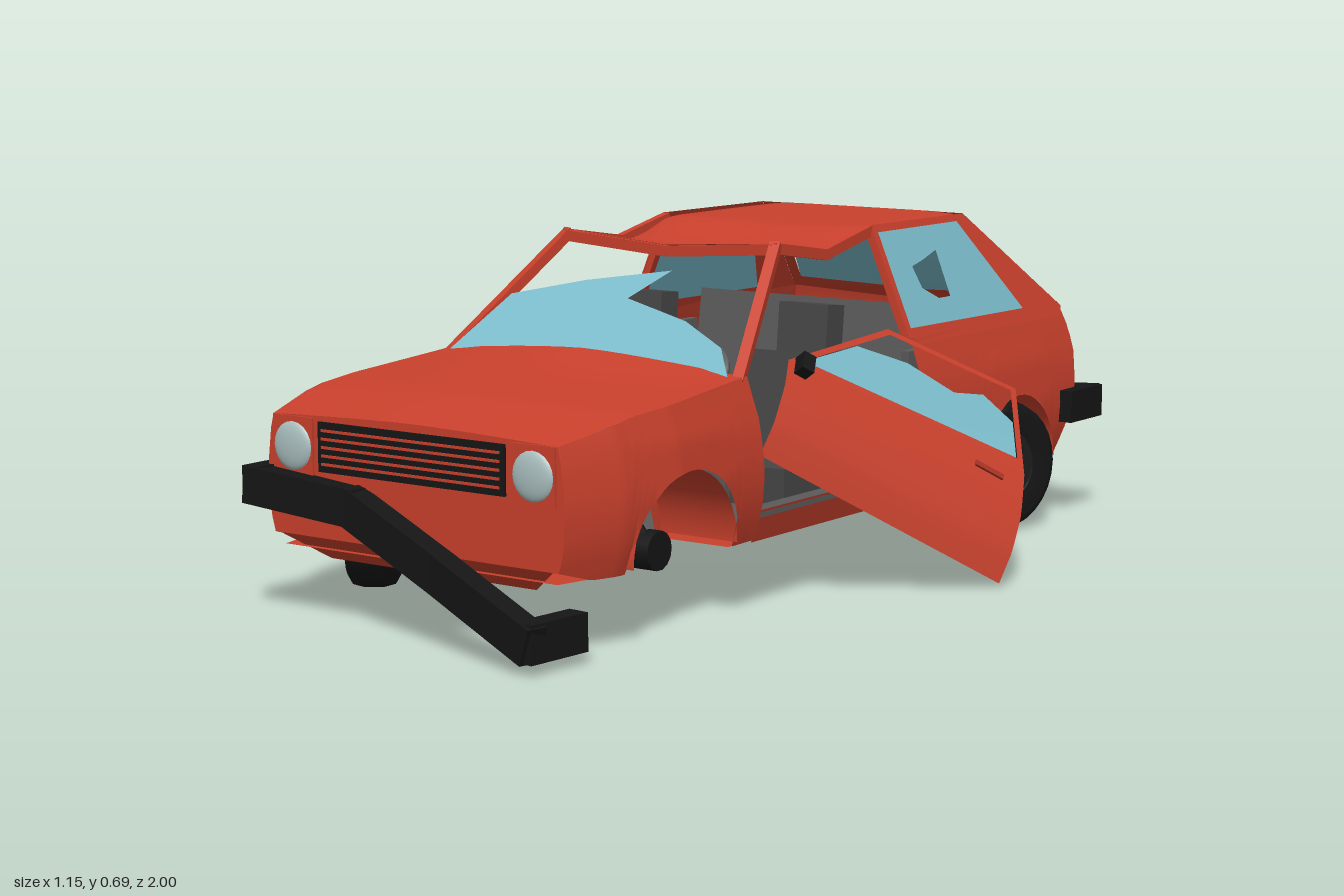
import * as THREE from 'three';

const mat = (color, side = THREE.DoubleSide) => new THREE.MeshStandardMaterial({ color, side });
const red = mat(0xc8402c), redOuter = mat(0xc8402c, THREE.FrontSide), glass = mat(0x7cbccb);
const glassOuter = mat(0x7cbccb, THREE.FrontSide), black = mat(0x151515), grey = mat(0x5a5a5a), lamp = mat(0xa9bdbd);
const seat = mat(0x464646), tail = mat(0xd8604a), amber = mat(0xd8862c);
const V = (p) => new THREE.Vector3(...p);

function add(parent, name, geo, material, pos = [0, 0, 0], rot = [0, 0, 0]) {
  const m = new THREE.Mesh(geo, material);
  m.name = name;
  m.position.set(...pos);
  m.rotation.set(...rot);
  parent.add(m);
  return m;
}
const box = (g, name, size, pos, material, rot) => add(g, name, new THREE.BoxGeometry(...size), material, pos, rot);

// piecewise linear table with rising keys
function interp(table, t) {
  if (t <= table[0][0]) return table[0][1];
  for (let i = 1; i < table.length; i++) {
    const [a, p] = table[i - 1], [b, q] = table[i];
    if (t <= b) return p + (q - p) * (t - a) / (b - a);
  }
  return table[table.length - 1][1];
}

// smooth surface from a rule f(u, v), u and v in 0..1
function grid(nu, nv, f) {
  const pos = [], idx = [];
  for (let j = 0; j <= nv; j++) for (let i = 0; i <= nu; i++) pos.push(...f(i / nu, j / nv));
  for (let j = 0; j < nv; j++) for (let i = 0; i < nu; i++) {
    const a = j * (nu + 1) + i, b = a + nu + 1;
    idx.push(a, a + 1, b + 1, a, b + 1, b);
  }
  const g = new THREE.BufferGeometry();
  g.setAttribute('position', new THREE.Float32BufferAttribute(pos, 3));
  g.setIndex(idx);
  g.computeVertexNormals();
  return g;
}

// flat outline with optional hole, each point moved by a rule
function panel(outline, hole, rule) {
  const pts = (l) => l.map(([a, b]) => new THREE.Vector2(a, b));
  const s = new THREE.Shape(pts(outline));
  if (hole) s.holes.push(new THREE.Path(pts(hole)));
  const g = new THREE.ShapeGeometry(s), p = g.attributes.position;
  for (let i = 0; i < p.count; i++) p.setXYZ(i, ...rule(p.getX(i), p.getY(i)));
  g.computeVertexNormals();
  return g;
}

// chain of square bars through points
function bars(g, name, points, h, d, material, extra = 0) {
  for (let i = 1; i < points.length; i++) {
    const a = V(points[i - 1]), b = V(points[i]);
    const m = add(g, name, new THREE.BoxGeometry(d, h, a.distanceTo(b) + extra), material);
    m.position.copy(a).add(b).multiplyScalar(0.5);
    m.quaternion.setFromRotationMatrix(new THREE.Matrix4().lookAt(b, a, m.up));
  }
}

// body rules: half width, wheel arch edge, belt height, tail outline
const NOSE = 0.873;
const plan = [[-0.97, 0.398], [-0.8, 0.402], [-0.3, 0.405], [0.35, 0.41], [0.6, 0.42], [0.75, 0.402], [0.873, 0.36]];
const bulge = [[0.13, 0.93], [0.2, 0.985], [0.28, 1], [0.37, 0.97], [0.42, 0.925], [0.47, 0.885]];
const halfW = (y, z) => interp(plan, z) * interp(bulge, y);
const ARCHES = [[0.565, 0.162], [-0.655, 0.152]];
const lower = (z) => Math.max(z > 0.8 ? 0.14 + (z - 0.8) * 0.3 : 0.14,
  ...ARCHES.map(([c, r]) => (Math.abs(z - c) < r ? 0.15 + Math.sqrt(r ** 2 - (z - c) ** 2) : 0)));
const belt = (z) => interp([[-0.9, 0.47], [0.33, 0.455], [0.7, 0.425], [0.873, 0.39]], z);
const tailZ = (y) => interp([[0.15, -0.845], [0.29, -0.905], [0.42, -0.92], [0.47, -0.905]], y);

function wheel(g, name, pos, yaw, camber, s) {
  const w = new THREE.Group();
  w.name = name;
  const prof = [[0.075, -0.045], [0.118, -0.052], [0.136, -0.042], [0.142, -0.02], [0.142, 0.02], [0.136, 0.042], [0.118, 0.052], [0.075, 0.045]];
  add(w, 'tyre', new THREE.LatheGeometry(prof.map((p) => new THREE.Vector2(...p)), 28), black, [0, 0, 0], [0, 0, Math.PI / 2]);
  add(w, 'rim', new THREE.CylinderGeometry(0.08, 0.08, 0.07, 24), mat(0x1e1e1e), [0, 0, 0], [0, 0, Math.PI / 2]);
  add(w, 'hub', new THREE.CylinderGeometry(0.025, 0.025, 0.08, 12), black, [0, 0, 0], [0, 0, Math.PI / 2]);
  for (let i = 0; i < 5; i++) {
    const a = i * Math.PI * 0.4;
    box(w, 'rimSlot', [0.006, 0.018, 0.018], [s * 0.034, 0.052 * Math.sin(a), 0.052 * Math.cos(a)], black, [-a, 0, 0]);
  }
  w.position.set(...pos);
  w.rotation.set(0, yaw, camber, 'YXZ');
  g.add(w);
}

function buildBody(g) {
  for (const s of [-1, 1]) {
    // fenders, quarters and sills
    const side = (z0, z1) => (u, v) => {
      let z = z0 + (z1 - z0) * u;
      const lo = lower(z), y = lo + (belt(z) - lo) * v, x = s * halfW(y, z);
      if (z < -0.82) z = -0.82 + (z + 0.82) / -0.12 * (tailZ(y) + 0.82);
      return [x, y, z];
    };
    add(g, 'frontFender', grid(64, 8, side(NOSE, 0.325)), red);
    add(g, 'rearQuarter', grid(72, 8, side(-0.27, -0.94)), red);
    add(g, 'sill', grid(2, 3, (u, v) => [s * halfW(0.135 + 0.065 * v, 0), 0.135 + 0.065 * v, 0.33 - 0.61 * u]), red);
    box(g, 'sillTop', [0.05, 0.01, 0.6], [s * 0.375, 0.19, 0.025], grey);
    box(g, 'quarterTrim', [0.02, 0.27, 0.21], [s * 0.345, 0.3, -0.38], grey);
    // wheel wells
    for (const [z, r] of ARCHES) {
      add(g, 'wheelWell', new THREE.CylinderGeometry(r, r, 0.18, 20, 1, true, 0, Math.PI), red, [s * 0.31, 0.15, z], [0, 0, Math.PI / 2]);
      add(g, 'wellWall', new THREE.CircleGeometry(r, 20, 0, Math.PI), red, [s * 0.22, 0.15, z], [0, Math.PI / 2, 0]);
    }
    // rear side window and its frame
    const slope = (z, y) => [s * (0.361 - (y - 0.46) * 0.426), y, z];
    const win = [[-0.278, 0.482], [-0.278, 0.676], [-0.6, 0.676], [-0.745, 0.479]];
    add(g, 'sideFrame', panel([[-0.262, 0.45], [-0.262, 0.692], [-0.635, 0.69], [-0.905, 0.47], [-0.89, 0.45]], win, slope), red);
    const hole = s > 0 ? [[-0.37, 0.6], [-0.42, 0.61], [-0.48, 0.625], [-0.475, 0.53], [-0.43, 0.53], [-0.38, 0.555]] : null;
    add(g, 'sideWindow', panel(win, hole, slope), glass);
    // windscreen pillar, roof rail and door post
    bars(g, 'windscreenPillar', [[s * 0.358, 0.445, 0.34], [s * 0.26, 0.675, 0.075]], 0.02, 0.022, red, 0.01);
    bars(g, 'roofRail', [[s * 0.26, 0.672, 0.08], [s * 0.26, 0.645, -0.1], [s * 0.26, 0.68, -0.265]], 0.022, 0.016, red, 0.008);
    bars(g, 'doorPost', [[s * 0.355, 0.46, -0.272], [s * 0.262, 0.68, -0.272]], 0.018, 0.018, red);
    // lamps
    box(g, 'lampPanel', [0.1, 0.11, 0.01], [s * 0.29, 0.335, NOSE], red);
    const l = add(g, 'headlight', new THREE.SphereGeometry(0.048, 20, 10, 0, Math.PI * 2, 0, Math.PI / 2), lamp, [s * 0.29, 0.333, NOSE + 0.002], [Math.PI / 2, 0, 0]);
    l.scale.y = 0.3;
    box(g, 'tailLight', [0.085, 0.06, 0.03], [s * 0.318, 0.36, -0.92], tail, [0, s * -0.18, 0]);
    box(g, 'turnSignal', [0.085, 0.022, 0.03], [s * 0.318, 0.316, -0.916], amber, [0, s * -0.18, 0]);
  }
  // bonnet, nose and valance
  add(g, 'bonnet', grid(14, 12, (u, v) => {
    const z = NOSE - (NOSE - 0.335) * v, t = u * 2 - 1, y = belt(z);
    return [t * halfW(y, z), y + (0.01 + 0.02 * v ** 5) * (1 - Math.abs(t) ** 1.5), z + 0.025 * v * (1 - t * t)];
  }), red);
  add(g, 'nose', grid(8, 8, (u, v) => {
    const t = u * 2 - 1, y = 0.162 + (0.228 + 0.01 * (1 - Math.abs(t) ** 1.5)) * v;
    return [t * halfW(y, NOSE), y, NOSE];
  }), red);
  add(g, 'valance', grid(1, 1, (u, v) => [(u * 2 - 1) * (0.25 + 0.08 * v), 0.112 + 0.05 * v, 0.82 + 0.053 * v]), red);
  // grille
  box(g, 'grille', [0.45, 0.095, 0.012], [0, 0.337, NOSE], black);
  for (let i = 0; i < 5; i++) box(g, 'grilleSlat', [0.43, 0.005, 0.008], [0, 0.305 + i * 0.016, NOSE + 0.005], red);
  // dented roof
  add(g, 'roof', grid(16, 24, (u, v) => {
    const t = u * 2 - 1, z = 0.085 - 0.73 * v;
    const y = interp([[-0.645, 0.69], [-0.26, 0.692], [-0.18, 0.665], [-0.1, 0.65], [0, 0.662], [0.085, 0.683]], z);
    return [t * 0.266, y - 0.018 * (1 - Math.abs(t)) * interp([[-0.5, 0], [-0.1, 1]], z) - 0.012 * t ** 10, z];
  }), red);
  bars(g, 'roofHeader', [[-0.26, 0.67, 0.078], [0, 0.652, 0.078], [0.26, 0.67, 0.078]], 0.022, 0.02, red);
  // windscreen remains
  const screen = (x, t) => [x, 0.462 + 0.213 * t, 0.35 - 0.27 * t];
  add(g, 'windscreen', panel([[-0.345, -0.03], [0.345, -0.03], [0.29, 0.18], [0.17, 0.36], [0, 0.5], [0.06, 0.75], [-0.13, 0.62], [-0.29, 0.46]], null, screen), glass);
  // tailgate window frame, broken glass and tail panel
  const gate = (x, t) => {
    const c = t * (1 - Math.abs(x) / 0.36);
    return [x, 0.69 - 0.22 * t - 0.025 * c, -0.635 - 0.27 * t - 0.07 * c];
  };
  add(g, 'tailgateFrame', panel([[-0.262, 0], [0.262, 0], [0.357, 1], [0, 1], [-0.357, 1]],
    [[-0.235, 0.07], [-0.322, 0.88], [0, 0.86], [0.322, 0.88], [0.235, 0.07]], gate), red);
  add(g, 'tailgateGlass', panel([[-0.322, 0.88], [0, 0.86], [0.322, 0.88], [0.24, 0.08], [0.15, 0.22], [0.02, 0.42], [-0.15, 0.25], [-0.16, 0.45], [-0.285, 0.55]], null, gate), glass);
  add(g, 'tailPanel', grid(12, 10, (u, v) => {
    const t = u * 2 - 1, y = 0.14 + 0.33 * v, c = 1 - Math.abs(t);
    return [t * halfW(y, -0.94), y - 0.025 * c * v * v, tailZ(y) - 0.07 * c * Math.min(1, 0.2 + 1.2 * v)];
  }), red);
  // underside with wheel notches
  const half = [[0.33, 0.86], [0.36, 0.73], [0.22, 0.727], [0.22, 0.403], [0.378, 0.403], [0.378, -0.503], [0.22, -0.503], [0.22, -0.807], [0.36, -0.807], [0.36, -0.85]];
  add(g, 'underside', panel([...half, ...half.map(([x, z]) => [-x, z]).reverse()], null, (x, z) => [x, 0.138, z]), red);
}

function buildInterior(g) {
  box(g, 'cabinFloor', [0.74, 0.015, 0.83], [0, 0.155, -0.07], grey);
  box(g, 'firewall', [0.7, 0.26, 0.015], [0, 0.29, 0.365], grey);
  box(g, 'dashboard', [0.68, 0.08, 0.05], [0, 0.4, 0.345], grey);
  for (const x of [-0.21, 0.21]) {
    box(g, 'frontSeat', [0.24, 0.08, 0.25], [x, 0.205, 0.02], seat);
    box(g, 'frontSeatBack', [0.24, 0.24, 0.06], [x, 0.32, -0.09], seat, [-0.15, 0, 0]);
    box(g, 'headrest', [0.12, 0.11, 0.06], [x, 0.485, -0.125], seat, [-0.1, 0, 0]);
  }
  box(g, 'rearSeat', [0.66, 0.1, 0.2], [0, 0.22, -0.38], grey);
  box(g, 'rearSeatBack', [0.66, 0.3, 0.06], [0, 0.35, -0.5], grey, [-0.15, 0, 0]);
  box(g, 'parcelShelf', [0.66, 0.012, 0.35], [0, 0.43, -0.7], grey);
  add(g, 'steeringWheel', new THREE.TorusGeometry(0.06, 0.008, 8, 24), grey, [0.19, 0.435, 0.235], [-0.6, 0, 0]);
  bars(g, 'steeringColumn', [[0.19, 0.435, 0.235], [0.19, 0.36, 0.34]], 0.018, 0.018, grey);
}

function buildDoor(g) {
  const door = new THREE.Group();
  door.name = 'hangingDoor';
  // local x runs rearwards, y up the door, z outwards
  const ex = V([0.28, -0.29, -0.43]).normalize(), ez = ex.clone().cross(V([-0.17, 0.35, -0.32])).normalize();
  new THREE.Matrix4().makeBasis(ex, ez.clone().cross(ex), ez).setPosition(0.29, 0.3, 0.3).decompose(door.position, door.quaternion, door.scale);
  const out = (b) => interp([[0, 0], [0.06, 0.035], [0.14, 0.055], [0.24, 0.055], [0.5, 0]], b);
  const lift = (d) => (a, b) => [a, b, out(b) + d];
  add(door, 'doorSkin', grid(6, 10, (u, v) => {
    const b = (0.205 + 0.065 * u) * v;
    return [0.59 * u, b, out(b)];
  }), redOuter);
  add(door, 'doorWindowFrame', panel([[0, 0.205], [0.59, 0.27], [0.59, 0.5], [0.25, 0.458]],
    [[0.035, 0.222], [0.575, 0.282], [0.575, 0.485], [0.255, 0.444]], lift(0)), red);
  add(door, 'doorGlass', panel([[0.035, 0.222], [0.575, 0.282], [0.575, 0.39], [0.5, 0.425], [0.42, 0.38], [0.3, 0.39], [0.17, 0.355]], null, lift(-0.003)), glassOuter);
  box(door, 'doorHandle', [0.07, 0.012, 0.008], [0.5, 0.205, 0.056], mat(0xa83424));
  box(door, 'mirror', [0.028, 0.04, 0.04], [0.03, 0.2, 0.064], black);
  g.add(door);
}

export function createModel() {
  const car = new THREE.Group();
  car.name = 'wreckedCar';
  const body = new THREE.Group();
  body.name = 'body';
  body.position.x = -0.09;
  car.add(body);
  buildBody(body);
  buildInterior(body);
  buildDoor(car);
  // three wheels and a bare strut
  wheel(car, 'frontRightWheel', [-0.455, 0.143, 0.57], 0.65, 0, -1);
  wheel(car, 'rearRightWheel', [-0.42, 0.155, -0.655], 0.12, 0.4, -1);
  wheel(car, 'rearLeftWheel', [0.248, 0.146, -0.655], -0.3, 0, 1);
  for (const z of [0.62, 0.525]) bars(car, 'strut', [[0.16, 0.29, z], [0.23, 0.16, 0.575]], 0.026, 0.026, black);
  add(car, 'bareHub', new THREE.CylinderGeometry(0.038, 0.038, 0.06, 14), black, [0.225, 0.155, 0.575], [0, 0, Math.PI / 2]);
  // torn bumpers
  bars(car, 'frontBumper', [[-0.455, 0.255, 0.79], [-0.455, 0.255, 0.9], [-0.22, 0.235, 0.89], [0.02, 0.145, 0.925], [0.265, 0.058, 0.975], [0.275, 0.058, 0.86]], 0.072, 0.045, black, 0.03);
  bars(car, 'rearBumper', [[0.315, 0.255, -0.85], [0.315, 0.255, -0.96], [0.18, 0.245, -0.955], [0.01, 0.13, -0.93], [-0.2, 0.085, -0.93], [-0.485, 0.048, -0.97], [-0.52, 0.048, -0.87]], 0.07, 0.045, black, 0.03);
  return car;
}
